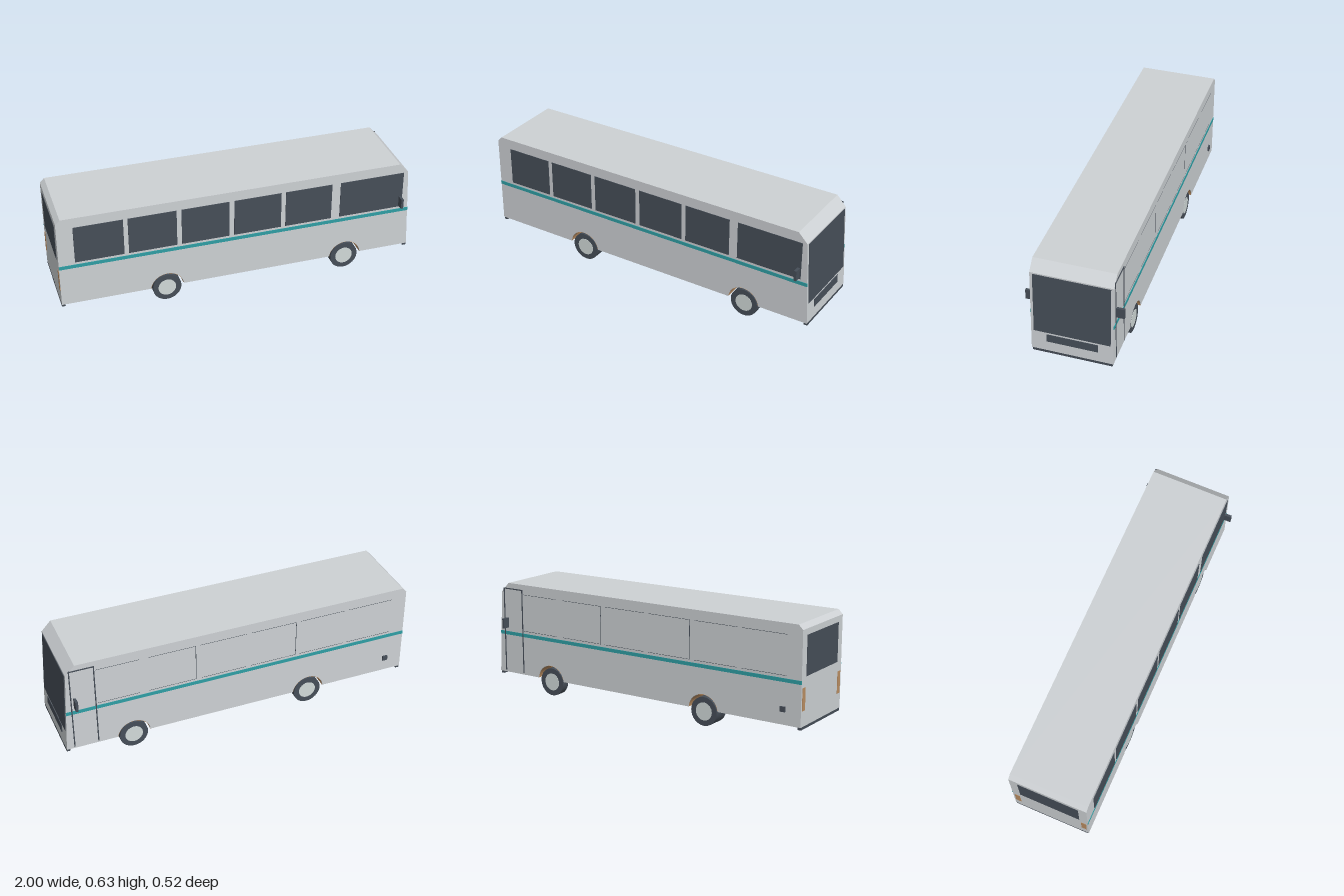
import * as THREE from 'three';

const mat = (name, color, extra = {}) => {
  const m = new THREE.MeshStandardMaterial({ color, ...extra });
  m.name = name;
  return m;
};

export function createModel() {
  const bus = new THREE.Group();
  bus.name = 'bus';
  const paint = mat('body grey', 0xcdd1d4);
  const dark = mat('dark glass and rubber', 0x464e58);
  const teal = mat('teal stripe', 0x2f9fa5);
  const tan = mat('tan', 0xb98d62, { side: THREE.DoubleSide });
  const hubGrey = mat('hub grey', 0xd2dad9);

  const add = (name, geo, material, x = 0, y = 0, z = 0, parent = bus) => {
    const m = new THREE.Mesh(geo, material);
    m.name = name;
    m.position.set(x, y, z);
    parent.add(m);
    return m;
  };
  // Box given by its limits on each axis
  const box = (name, material, x0, x1, y0, y1, z0, z1) =>
    add(name, new THREE.BoxGeometry(x1 - x0, y1 - y0, z1 - z0), material,
      (x0 + x1) / 2, (y0 + y1) / 2, (z0 + z1) / 2);

  const W = 0.22, floorY = 0.095;
  const axles = [-0.415, 0.62];
  const archR = 0.093, archY = 0.085;
  const a0 = Math.asin((floorY - archY) / archR);
  const archHalf = archR * Math.cos(a0);

  // Body: side profile with wheel arches, extruded across the width
  const s = new THREE.Shape();
  s.moveTo(-1, floorY);
  for (const x of axles) {
    s.lineTo(x - archHalf, floorY);
    s.absarc(x, archY, archR, Math.PI - a0, a0, true);
  }
  s.lineTo(1, floorY);
  s.lineTo(0.974, 0.575);
  s.lineTo(0.922, 0.63);
  s.lineTo(-0.975, 0.63);
  s.lineTo(-1, 0.605);
  s.closePath();
  const bodyGeo = new THREE.ExtrudeGeometry(s, { depth: 2 * W, bevelEnabled: false, curveSegments: 20 });
  add('body', bodyGeo, paint, 0, 0, -W);

  // Wheel arch liners across the body
  for (const x of axles) {
    const liner = new THREE.CylinderGeometry(archR - 0.002, archR - 0.002, 2 * W - 0.002, 20, 1, true,
      Math.PI / 2 + a0, Math.PI - 2 * a0);
    liner.rotateX(Math.PI / 2);
    add('wheelArchLiner', liner, tan, x, archY, 0);
  }

  // Stripe on both sides
  for (const side of [-1, 1]) {
    const z = side * (W + 0.001);
    box('stripe', teal, -1, 0.988, 0.322, 0.342, z - 0.0015, z + 0.0015);
  }

  // Side windows on the left, window seams on the right
  const windows = [[-0.912, -0.645], [-0.62, -0.355], [-0.328, -0.062],
    [-0.035, 0.232], [0.258, 0.525], [0.575, 0.948]];
  for (const [x0, x1] of windows) {
    box('sideWindow', dark, x0, x1, 0.357, 0.573, W - 0.002, W + 0.003);
    const end = Math.min(x1, 0.815);
    for (const y of [0.357, 0.572])
      box('windowSeam', dark, x0, end, y - 0.001, y + 0.001, -W - 0.0005, -W + 0.002);
  }
  for (const x of [-0.328, 0.258])
    box('windowDivider', dark, x - 0.0015, x + 0.0015, 0.357, 0.572, -W - 0.0008, -W + 0.002);

  // Door frame on the right
  for (const x of [0.955, 0.822])
    box('doorSeam', dark, x - 0.003, x + 0.003, 0.105, 0.6, -W - 0.003, -W + 0.002);
  box('doorTop', dark, 0.819, 0.958, 0.594, 0.6, -W - 0.003, -W + 0.002);
  box('fuelCap', dark, -0.912, -0.882, 0.165, 0.193, -W - 0.009, -W + 0.002);

  // Windscreen and grille follow the sloping front
  const slope = 0.026 / 0.48;
  const frontPanel = (name, y0, y1, halfZ) => {
    const y = (y0 + y1) / 2;
    const m = add(name, new THREE.BoxGeometry(0.006, y1 - y0, 2 * halfZ), dark,
      1 - slope * (y - floorY), y, 0);
    m.rotation.z = Math.atan(slope);
  };
  frontPanel('windscreen', 0.212, 0.568, 0.205);
  frontPanel('grille', 0.155, 0.2, 0.137);

  // Rear window and lights
  box('rearWindow', dark, -1.002, -0.998, 0.357, 0.572, -0.172, 0.172);
  for (const side of [-1, 1]) {
    const z = side * 0.195;
    box('tailLight', tan, -1.002, -0.998, 0.18, 0.302, z - 0.015, z + 0.015);
    // Mirrors
    const zm = side * 0.24;
    box('mirror', dark, 0.928, 0.942, 0.365, 0.423, zm - 0.022, zm + 0.022);
    // Chassis rails
    box('chassisRail', dark, -0.94, 0.94, 0.086, 0.097, side * 0.085 - 0.007, side * 0.085 + 0.007);
  }

  // Bumpers
  box('frontBumper', dark, 0.98, 1, 0.08, 0.0955, -0.215, 0.215);
  box('rearBumper', dark, -1, -0.98, 0.08, 0.0955, -0.215, 0.215);

  // Wheels: single in front, double at the rear
  const disc = (r, w) => new THREE.CylinderGeometry(r, r, w, 32).rotateX(Math.PI / 2);
  const tyreGeo = disc(0.08, 0.046), hubGeo = disc(0.05, 0.048);
  axles.forEach((x, i) => {
    add('axle', disc(0.01, 0.33), dark, x, 0.08, 0);
    for (const side of [-1, 1])
      for (const z of i === 0 ? [0.187, 0.135] : [0.187]) {
        const wheel = new THREE.Group();
        wheel.name = i === 0 ? 'rearWheel' : 'frontWheel';
        wheel.position.set(x, 0.08, side * z);
        add('tyre', tyreGeo, dark, 0, 0, 0, wheel);
        add('hub', hubGeo, hubGrey, 0, 0, 0, wheel);
        bus.add(wheel);
      }
  });

  return bus;
}
